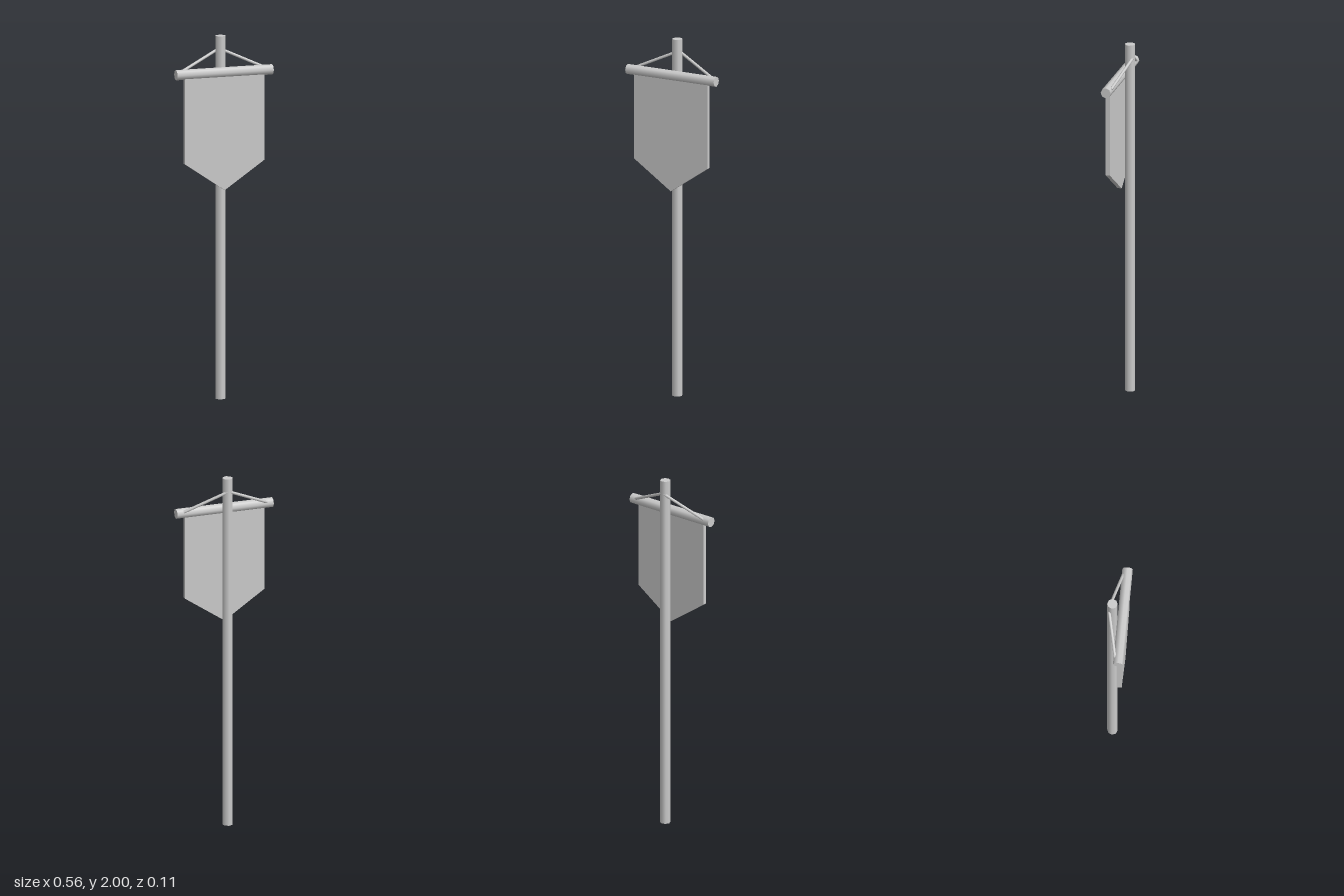
import * as THREE from 'three';

export function createModel() {
  const model = new THREE.Group();
  const material = new THREE.MeshStandardMaterial({ color: 0xcccccc });

  const add = (name, geometry) => {
    const mesh = new THREE.Mesh(geometry, material);
    mesh.name = name;
    model.add(mesh);
    return mesh;
  };

  // Straight round rod between two points
  const rod = (name, from, to, radius, sides) => {
    const a = new THREE.Vector3(...from);
    const b = new THREE.Vector3(...to);
    const mesh = add(name, new THREE.CylinderGeometry(radius, radius, a.distanceTo(b), sides));
    mesh.position.copy(a).lerp(b, 0.5);
    mesh.quaternion.setFromUnitVectors(new THREE.Vector3(0, 1, 0), b.sub(a).normalize());
    return mesh;
  };

  const R = 0.0285;
  const barY = 1.807;

  // Upright pole and the crossbar hung in front of it
  rod('pole', [0, 0, -R], [0, 2, -R], R, 8);
  rod('crossbar', [-0.278, barY, R], [0.278, barY, R], R, 8);

  // Ropes from the back of the pole down to the crossbar
  for (const [side, name] of [[1, 'leftRope'], [-1, 'rightRope']]) {
    rod(name, [0, 1.927, -0.048], [side * 0.24, 1.819, 0.008], 0.008, 8);
  }

  // Thick cloth with a pointed lower edge
  const outline = new THREE.Shape([
    [-0.23, barY], [-0.23, 1.315], [0, 1.16], [0.23, 1.315], [0.23, barY],
  ].map(([x, y]) => new THREE.Vector2(x, y)));
  const depth = 0.024;
  const cloth = new THREE.ExtrudeGeometry(outline, { depth, bevelEnabled: false });
  add('banner', cloth).position.z = 0.031 - depth / 2;

  return model;
}
